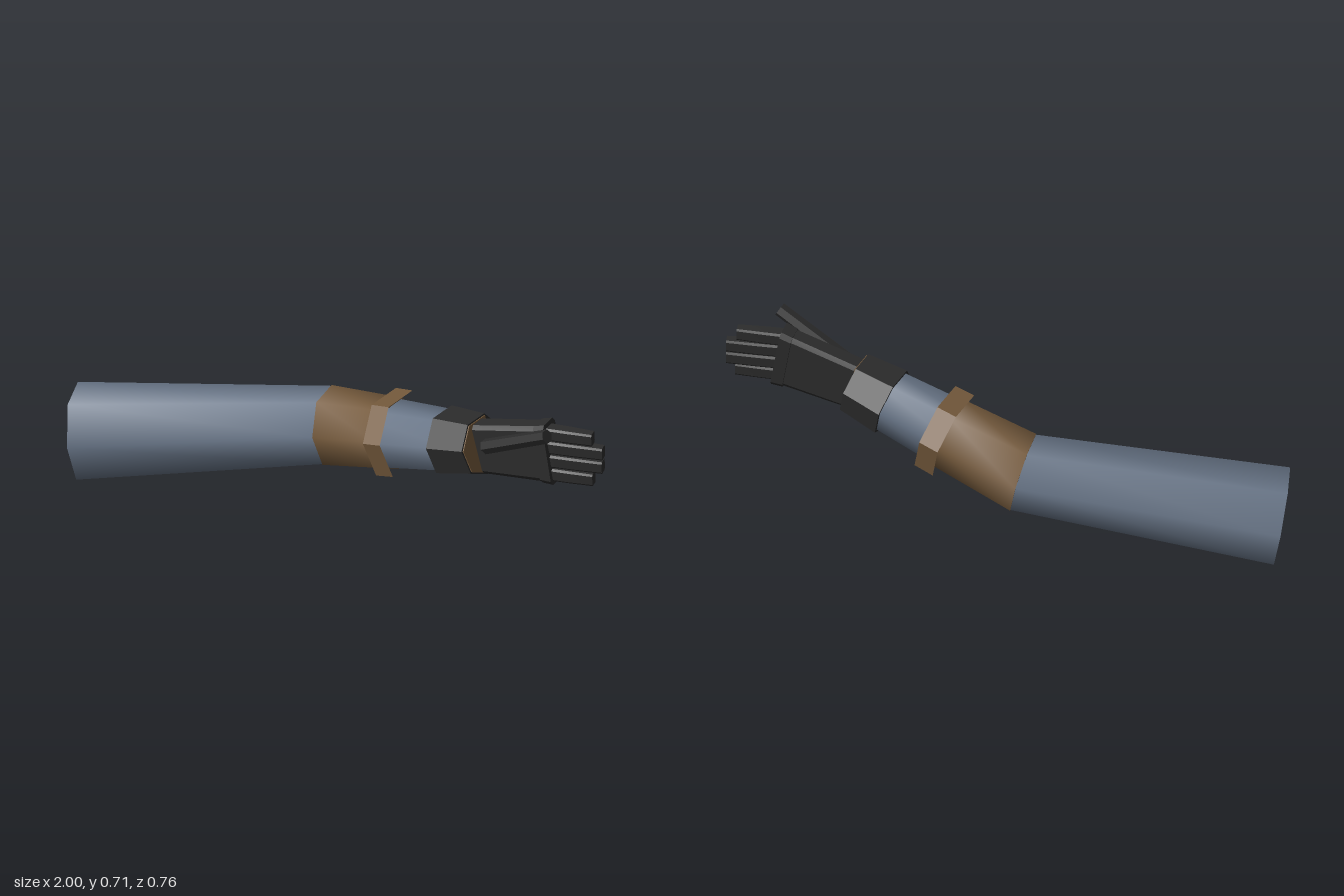
import * as THREE from 'three';
import { toCreasedNormals } from 'three/addons/utils/BufferGeometryUtils.js';

const mat = (name, color) => {
  const m = new THREE.MeshStandardMaterial({ color });
  m.name = name;
  return m;
};
const V = (x, y, z) => new THREE.Vector3(x, y, z);

// Regular polygon with a corner pointing down (side, up) in unit size
const polygon = (n, start = -Math.PI / 2) => Array.from({ length: n }, (_, i) => {
  const a = start + (i / n) * Math.PI * 2;
  return [Math.cos(a), Math.sin(a)];
});
const HEPTAGON = polygon(7);
const HEXAGON = polygon(6, 0);
const SLAB = [[-0.7, -1], [0.7, -1], [1, -0.85], [1, 0.85], [0.7, 1], [-0.7, 1], [-1, 0.85], [-1, -0.85]];
const BLOCK = [[-0.75, -1], [0.75, -1], [1, -0.7], [1, 0.7], [0.75, 1], [-0.75, 1], [-1, 0.7], [-1, -0.7]];

// Skins a profile along rings { c: centre, t: direction, a: side size, b: up size }
function loft(rings, profile, { caps = true, crease = 0.3 } = {}) {
  const n = profile.length, pos = [], idx = [];
  for (const { c, t, a, b = a } of rings) {
    const dir = t.clone().normalize();
    const up = V(0, 1, 0).addScaledVector(dir, -dir.y).normalize();
    const side = dir.clone().cross(up);
    for (const [s, u] of profile) {
      pos.push(...c.clone().addScaledVector(side, s * a).addScaledVector(up, u * b).toArray());
    }
  }
  for (let i = 0; i < rings.length - 1; i++) {
    for (let j = 0; j < n; j++) {
      const p = i * n + j, q = i * n + (j + 1) % n;
      idx.push(p, p + n, q, q, p + n, q + n);
    }
  }
  if (caps) {
    const last = (rings.length - 1) * n;
    for (let j = 1; j < n - 1; j++) {
      idx.push(0, j, j + 1, last, last + j + 1, last + j);
    }
  }
  const g = new THREE.BufferGeometry();
  g.setAttribute('position', new THREE.Float32BufferAttribute(pos, 3));
  g.setIndex(idx);
  return toCreasedNormals(g, crease);
}

export function createModel() {
  const model = new THREE.Group();
  model.name = 'arm';
  const blue = mat('slate blue sleeve', 0x677486);
  const brown = mat('brown leather', 0x755a3c);
  const black = mat('black glove', 0x2c2c2c);

  const add = (name, geometry, material) => {
    const mesh = new THREE.Mesh(geometry, material);
    mesh.name = name;
    model.add(mesh);
  };

  // Centre line: shoulder, elbow, wrist
  const shoulder = V(-0.97, 0.18, -0.205);
  const elbow = V(-0.055, 0.336, -0.145);
  const wrist = V(0.54, 0.51, 0.165);
  const upperDir = elbow.clone().sub(shoulder).normalize();
  const foreDir = wrist.clone().sub(elbow).normalize();
  const elbowDir = upperDir.clone().add(foreDir).normalize();
  const fore = (f, a) => ({ c: elbow.clone().lerp(wrist, f), t: foreDir, a });
  const smooth = { crease: 1.0 };

  // Sleeve of the upper arm and forearm
  add('armSleeve', loft([
    { c: shoulder, t: upperDir, a: 0.18 },
    { c: elbow, t: elbowDir, a: 0.145 },
    fore(0.99, 0.108),
  ], HEPTAGON, smooth), blue);

  // Leather elbow wrap and the loose open strap around it
  add('elbowWrap', loft([
    { c: elbow, t: elbowDir, a: 0.148 },
    fore(0.45, 0.133),
  ], HEPTAGON, smooth), brown);
  add('forearmStrap', loft([fore(0.405, 0.165), fore(0.515, 0.163)], HEPTAGON, { caps: false }), brown);

  // Glove cuff with a leather lining at its open end
  add('gloveCuff', loft([fore(0.78, 0.128), fore(1, 0.114)], HEPTAGON), black);
  const lining = [[-0.43, -0.79], [0, -1], [0.78, -0.62], [0.97, 0.22], [0.43, 0.9], [-0.43, 0.9]];
  add('cuffLining', loft([fore(0.999, 0.108), fore(1.006, 0.108)], lining), brown);

  // Palm and knuckles
  const handDir = V(0.29, 0.05, 0.105);
  const palmStart = V(0.52, 0.502, 0.155), palmEnd = V(0.812, 0.57, 0.258);
  const palm = (f, a, b) => ({ c: palmStart.clone().lerp(palmEnd, f), t: handDir, a, b });
  add('palm', loft([palm(0, 0.038, 0.095), palm(0.9, 0.036, 0.112)], SLAB), black);
  add('knuckles', loft([palm(0.86, 0.042, 0.114), palm(1, 0.044, 0.12)], SLAB), black);

  // Fingers, from index to little
  [[0.65, 0.96], [0.597, 0.998], [0.543, 0.998], [0.49, 0.965]].forEach(([y, tipX], i) => {
    const base = V(0.78, y - 0.004, 0.25 + i * 0.003);
    const tip = V(tipX, y, 0.278 + i * 0.003);
    const t = tip.clone().sub(base);
    add(`finger${i + 1}`, loft([
      { c: base, t, a: 0.026, b: 0.025 },
      { c: base.clone().lerp(tip, 0.5), t, a: 0.024, b: 0.025 },
      { c: tip, t, a: 0.019, b: 0.024 },
    ], BLOCK), black);
  });

  // Thumb
  const thumbBase = V(0.565, 0.55, 0.235), thumbTip = V(0.808, 0.692, 0.357);
  const thumbDir = thumbTip.clone().sub(thumbBase);
  add('thumb', loft([
    { c: thumbBase, t: thumbDir, a: 0.028 },
    { c: thumbTip, t: thumbDir, a: 0.026 },
  ], HEXAGON), black);

  return model;
}
